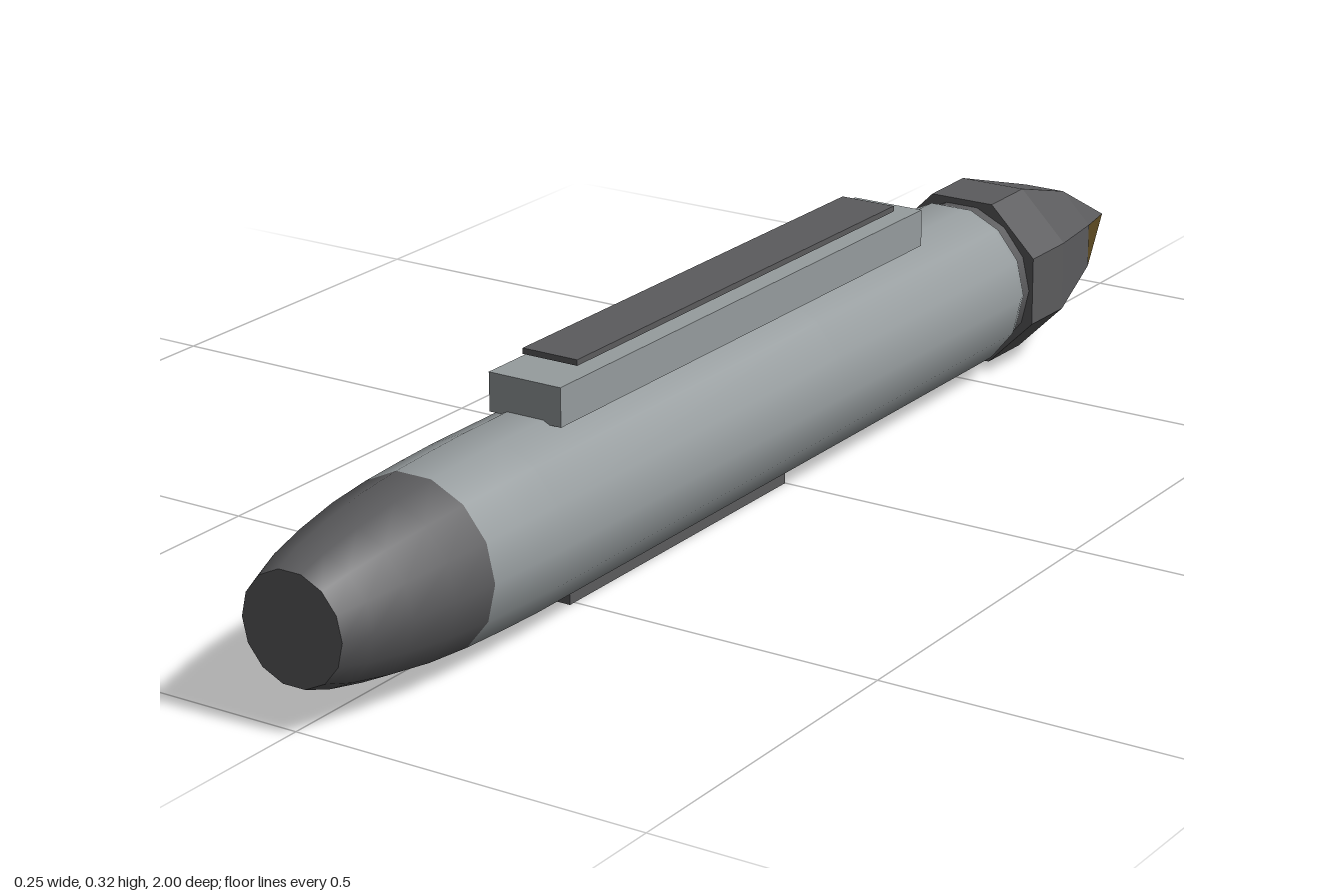
import * as THREE from 'three';

const mat = (name, color, flatShading = false) => {
  const m = new THREE.MeshStandardMaterial({ color, flatShading });
  m.name = name;
  return m;
};

export function createModel() {
  const root = new THREE.Group();
  root.name = 'pod';
  const lightGrey = mat('light grey', 0x969c9e);
  const darkGrey = mat('dark grey', 0x5b5b5d);
  const olive = mat('olive', 0x5e4b22);
  const CY = 0.131, SIDES = 14;

  const add = (name, geometry, material) => {
    const mesh = new THREE.Mesh(geometry, material);
    mesh.name = name;
    root.add(mesh);
    return mesh;
  };
  // Round section along z; profile is [radius, z] with z rising
  const turned = (name, profile, material) => {
    const pts = profile.map(([r, z]) => new THREE.Vector2(r, z));
    const g = new THREE.LatheGeometry(pts, SIDES, Math.PI / SIDES);
    g.rotateX(Math.PI / 2).translate(0, CY, 0);
    return add(name, g, material);
  };
  const disc = (name, r, z, material, back = false) => {
    const g = new THREE.CircleGeometry(r, SIDES);
    if (back) g.rotateY(Math.PI);
    return add(name, g.translate(0, CY, z), material);
  };
  const box = (name, halfX, y0, y1, z0, z1, material) => add(name,
    new THREE.BoxGeometry(2 * halfX, y1 - y0, z1 - z0)
      .translate(0, (y0 + y1) / 2, (z0 + z1) / 2), material);

  // Main tube in two joined sections
  turned('rearBody', [[0.117, -0.54], [0.124, -0.52], [0.124, -0.035]], lightGrey);
  turned('frontBody', [[0.124, -0.035], [0.124, 0.62], [0.122, 0.69], [0.119, 0.76]], lightGrey);
  disc('bodyEnd', 0.117, -0.54, lightGrey, true);

  // Rounded dark cap at the front
  turned('frontCap', [[0.119, 0.76], [0.113, 0.83], [0.102, 0.9], [0.089, 0.96], [0.075, 1]], darkGrey);
  disc('frontCapFace', 0.075, 1, darkGrey);

  // Collar between tube and faceted point
  turned('collar', [[0.115, -0.57], [0.115, -0.535]], darkGrey);

  // Octagonal point: rings of [z, centre height, apothem]
  const rings = [[-0.56, CY, 0.121], [-0.65, CY, 0.122], [-0.81, 0.127, 0.078], [-1, 0.114, 0]];
  const corner = (i, k) => {
    const [z, y, apothem] = rings[i];
    const a = (k - 0.5) * Math.PI / 4, r = apothem / Math.cos(Math.PI / 8);
    return [r * Math.cos(a), y + r * Math.sin(a), z];
  };
  const faces = { grey: [], olive: [] };
  for (let k = 0; k < 8; k++) {
    faces.grey.push(...corner(0, k), ...corner(0, k + 1), 0, CY, rings[0][0]);
    for (let i = 0; i < 3; i++) {
      const painted = (k >= 5 && i >= 1) || (k % 4 === 0 && i === 2);
      const list = painted ? faces.olive : faces.grey;
      const [a, b, c, d] = [corner(i, k), corner(i, k + 1), corner(i + 1, k + 1), corner(i + 1, k)];
      list.push(...a, ...c, ...b);
      if (i < 2) list.push(...a, ...d, ...c);
    }
  }
  const faceted = (name, list, material) => {
    const g = new THREE.BufferGeometry();
    g.setAttribute('position', new THREE.Float32BufferAttribute(list, 3));
    g.computeVertexNormals();
    add(name, g, material);
  };
  faceted('point', faces.grey, darkGrey);
  faceted('pointUnderside', faces.olive, olive);

  // Mounting rail on top: base, two pegs and plate
  box('railBase', 0.055, 0.247, 0.3, -0.35, 0.53, lightGrey);
  for (const z of [0.24, -0.06]) box('railPeg', 0.018, 0.298, 0.312, z - 0.025, z + 0.025, lightGrey);
  box('railPlate', 0.042, 0.31, 0.318, -0.295, 0.475, darkGrey);

  // Flat pad underneath
  box('bottomPad', 0.05, 0, 0.016, 0, 0.51, darkGrey);

  return root;
}
